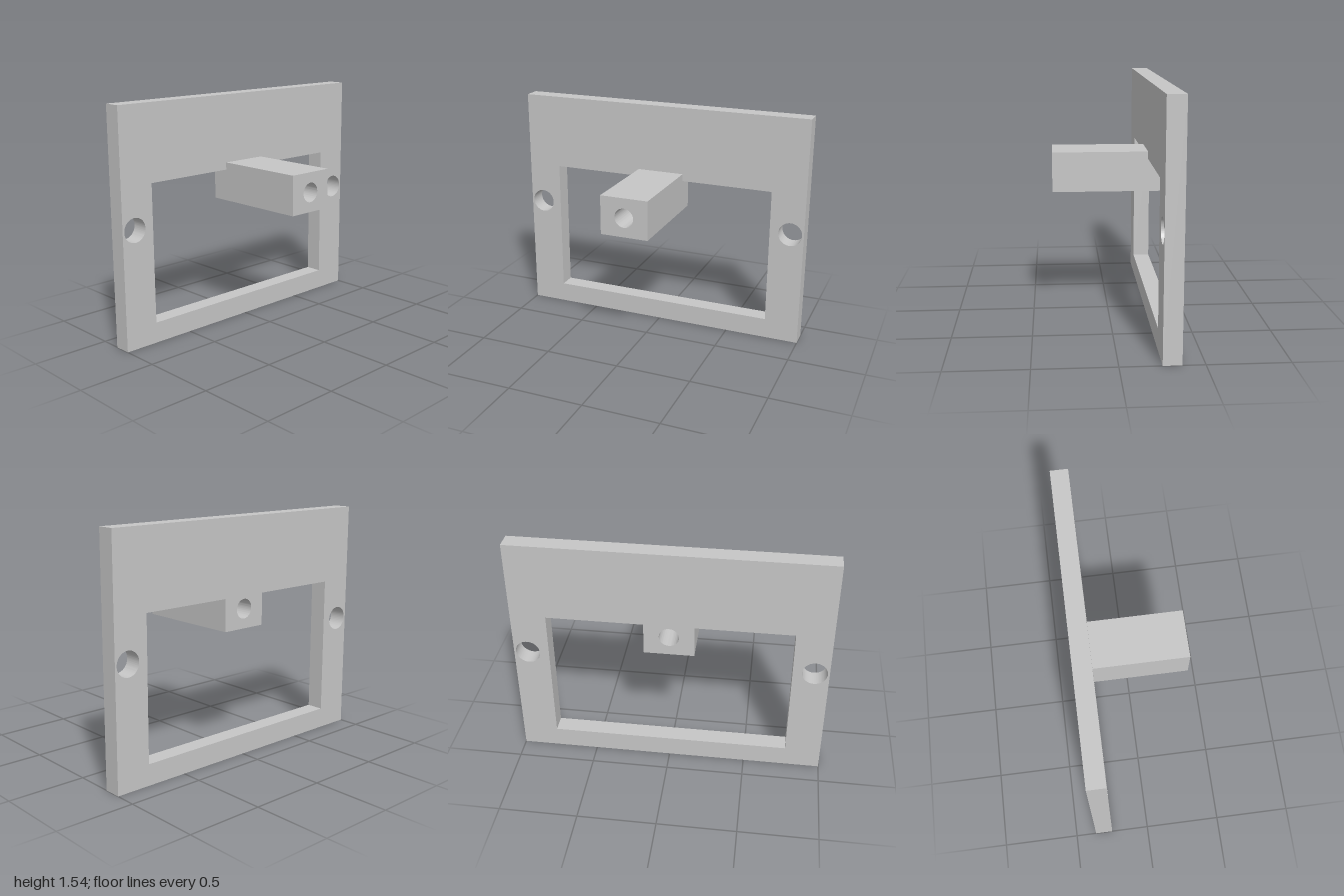
import * as THREE from 'three';
import { toCreasedNormals } from 'three/addons/utils/BufferGeometryUtils.js';

const grey = new THREE.MeshStandardMaterial({ color: 0xc6c6c6 });
grey.name = 'light grey';

const BACK = -0.364;

function rectangle(PathType, x0, y0, x1, y1) {
  const path = new PathType();
  path.moveTo(x0, y0).lineTo(x1, y0).lineTo(x1, y1).lineTo(x0, y1).closePath();
  return path;
}

function roundHole(x, y, radius) {
  return new THREE.Path().absarc(x, y, radius, 0, Math.PI * 2, true);
}

// Extrudes an outline with holes from the common back plane to zFront
function extrudedPart(name, outline, holes, zFront) {
  outline.holes.push(...holes);
  const geometry = new THREE.ExtrudeGeometry(outline, {
    depth: zFront - BACK, bevelEnabled: false, curveSegments: 48,
  });
  geometry.translate(0, 0, BACK);
  const mesh = new THREE.Mesh(toCreasedNormals(geometry, Math.PI / 6), grey);
  mesh.name = name;
  return mesh;
}

export function createModel() {
  const model = new THREE.Group();
  model.name = 'mountingBracket';

  // Upright frame with a wide opening and a screw hole in each side
  model.add(extrudedPart('framePlate',
    rectangle(THREE.Shape, -1, 0, 1, 1.545),
    [
      rectangle(THREE.Path, -0.772, 0.136, 0.772, 1.048),
      ...[-1, 1].map((side) => roundHole(side * 0.909, 0.773, 0.079)),
    ],
    -0.25));

  // Block set into the top edge of the opening, flush at the back, bored lengthwise
  model.add(extrudedPart('boredBlock',
    rectangle(THREE.Shape, -0.159, 0.839, 0.159, 1.096),
    [roundHole(0, 0.966, 0.063)],
    0.364));

  return model;
}
